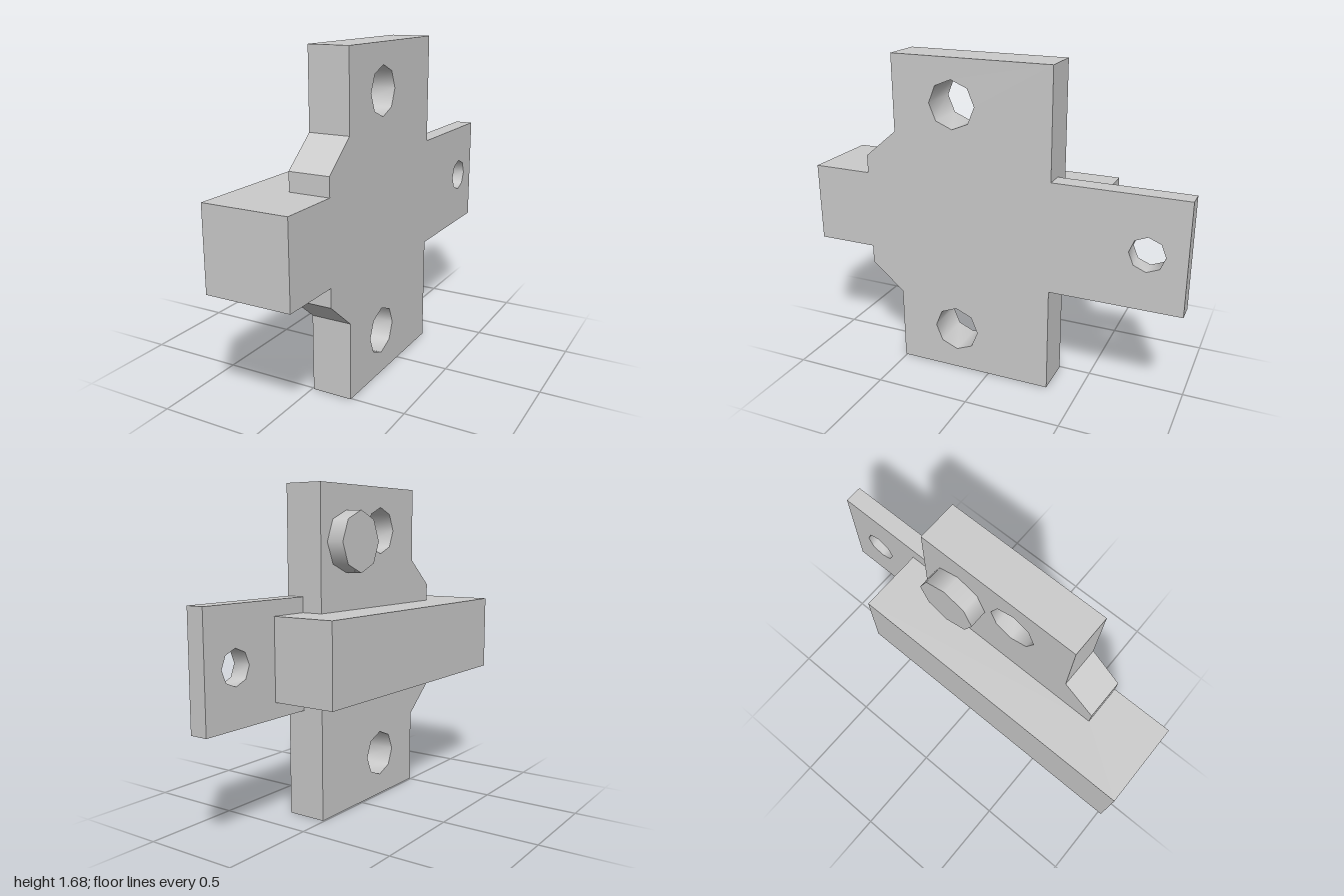
import * as THREE from 'three';
import { toCreasedNormals } from 'three/addons/utils/BufferGeometryUtils.js';

const material = new THREE.MeshStandardMaterial({ color: 0xcccccc });
const OUTER = 0.217; // shared flat side of plate, tab and bar

function addMesh(group, name, geometry) {
  const mesh = new THREE.Mesh(geometry, material);
  mesh.name = name;
  group.add(mesh);
}

// Octagonal hole with corners on its axes
function octagon(z, y, r) {
  const points = [];
  for (let i = 0; i < 8; i++) {
    const a = (i * Math.PI) / 4;
    points.push(new THREE.Vector2(-z + r * Math.cos(a), y + r * Math.sin(a)));
  }
  return new THREE.Path(points);
}

// Upright slab from a [z, y] outline, between x0 and the outer side
function slab(outline, holes, x0) {
  const shape = new THREE.Shape(outline.map(([z, y]) => new THREE.Vector2(-z, y)));
  shape.holes = holes.map((h) => octagon(...h));
  const geometry = new THREE.ExtrudeGeometry(shape, { depth: OUTER - x0, bevelEnabled: false });
  geometry.rotateY(Math.PI / 2).translate(x0, 0, 0);
  // Rounds the hole walls but keeps the chamfers sharp
  return toCreasedNormals(geometry, THREE.MathUtils.degToRad(47));
}

export function createModel() {
  const model = new THREE.Group();
  model.name = 'bracket';

  // Main plate with chamfered shoulders and two bolt holes
  addMesh(model, 'plate', slab(
    [[-0.333, 0], [0.507, 0], [0.507, 0.395], [0.68, 0.54],
      [0.68, 1.143], [0.507, 1.288], [0.507, 1.68], [-0.333, 1.68]],
    [[0.184, 1.452, 0.122], [0.184, 0.232, 0.122]], 0.008));

  // Thin rear tab with one hole
  addMesh(model, 'rearTab', slab(
    [[-0.333, 0.555], [-0.333, 1.128], [-1, 1.128], [-1, 0.555]],
    [[-0.81, 0.841, 0.088]], 0.122));

  // Long bar, notched in plan to fit around plate and tab
  const plan = [[-0.22, -0.547], [0.122, -0.547], [0.122, -0.333], [0.008, -0.333],
    [0.008, 0.68], [OUTER, 0.68], [OUTER, 1], [-0.22, 1]];
  const bar = new THREE.ExtrudeGeometry(
    new THREE.Shape(plan.map(([x, z]) => new THREE.Vector2(x, -z))),
    { depth: 0.415, bevelEnabled: false });
  bar.rotateX(-Math.PI / 2).translate(0, 0.634, 0);
  addMesh(model, 'bar', bar);

  // Octagonal stud on the inner side of the plate
  const stud = new THREE.CylinderGeometry(0.155, 0.155, 0.093, 8);
  stud.rotateZ(Math.PI / 2).translate(-0.0385, 1.396, -0.127);
  addMesh(model, 'stud', stud);

  return model;
}
